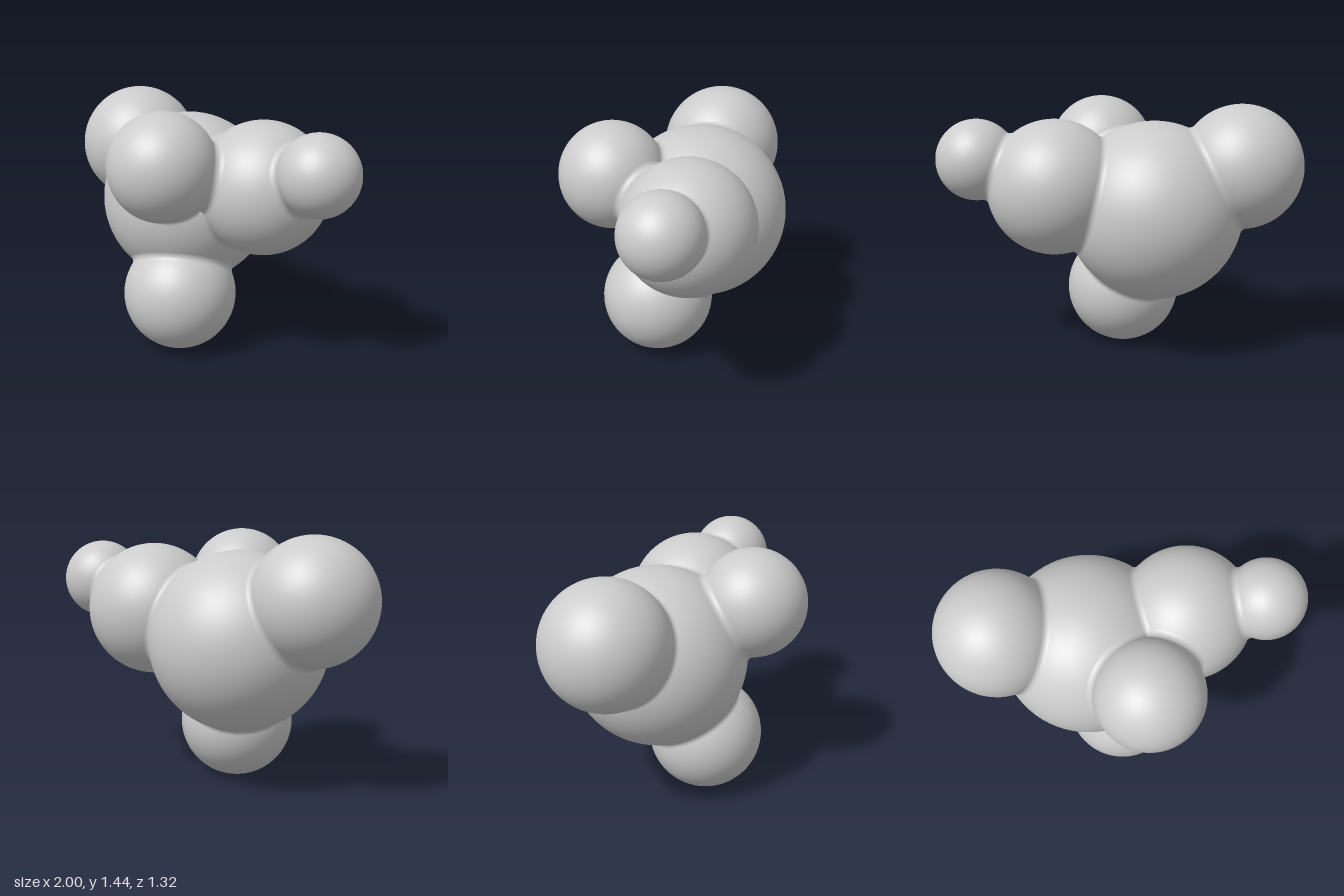
import * as THREE from 'three';

// Ball clusters: centre and radius of each atom
const BALLS = {
  coreBall: [-0.19, 0.84, -0.152, 0.505],
  rightBall: [-0.65, 1.092, -0.31, 0.35],
  frontBall: [-0.035, 1.138, 0.354, 0.304],
  bottomBall: [-0.09, 0.327, 0.104, 0.327],
  leftBall: [0.365, 0.99, -0.053, 0.377],
  leftTipBall: [0.77, 1.14, 0.098, 0.226],
};

// Balls that touch and share a rounded crease
const JOINTS = [
  ['coreBall', 'rightBall'],
  ['coreBall', 'frontBall'],
  ['coreBall', 'bottomBall'],
  ['coreBall', 'leftBall'],
  ['leftBall', 'leftTipBall'],
  ['leftBall', 'frontBall'],
];

const FILLET = 0.035;

// Concave ring tangent to both balls, turned around the line between their centres
function makeFillet(a, b, material) {
  const from = new THREE.Vector3(a[0], a[1], a[2]);
  const axis = new THREE.Vector3(b[0], b[1], b[2]).sub(from);
  const d = axis.length();
  const ra = a[3] + FILLET;
  const rb = b[3] + FILLET;
  const h = (d * d + ra * ra - rb * rb) / (2 * d);
  const r = Math.sqrt(ra * ra - h * h);
  const start = Math.atan2(-h, -r);
  const end = Math.atan2(d - h, -r) - 2 * Math.PI;
  const points = [];
  for (let i = 0; i <= 8; i++) {
    const t = start + ((end - start) * i) / 8;
    points.push(new THREE.Vector2(r + FILLET * Math.cos(t), h + FILLET * Math.sin(t)));
  }
  const ring = new THREE.Mesh(new THREE.LatheGeometry(points, 72), material);
  ring.position.copy(from);
  ring.quaternion.setFromUnitVectors(new THREE.Vector3(0, 1, 0), axis.normalize());
  return ring;
}

export function createModel() {
  const group = new THREE.Group();
  group.name = 'ballCluster';
  const material = new THREE.MeshStandardMaterial({ color: 0xcccccc });
  const ringMaterial = new THREE.MeshStandardMaterial({ color: 0xcccccc, side: THREE.DoubleSide });

  // Balls
  for (const [name, [x, y, z, r]] of Object.entries(BALLS)) {
    const ball = new THREE.Mesh(new THREE.SphereGeometry(r, 72, 48), material);
    ball.name = name;
    ball.position.set(x, y, z);
    group.add(ball);
  }

  // Blended creases
  for (const [a, b] of JOINTS) {
    const ring = makeFillet(BALLS[a], BALLS[b], ringMaterial);
    ring.name = `${a}To${b[0].toUpperCase()}${b.slice(1)}Fillet`;
    group.add(ring);
  }
  return group;
}
